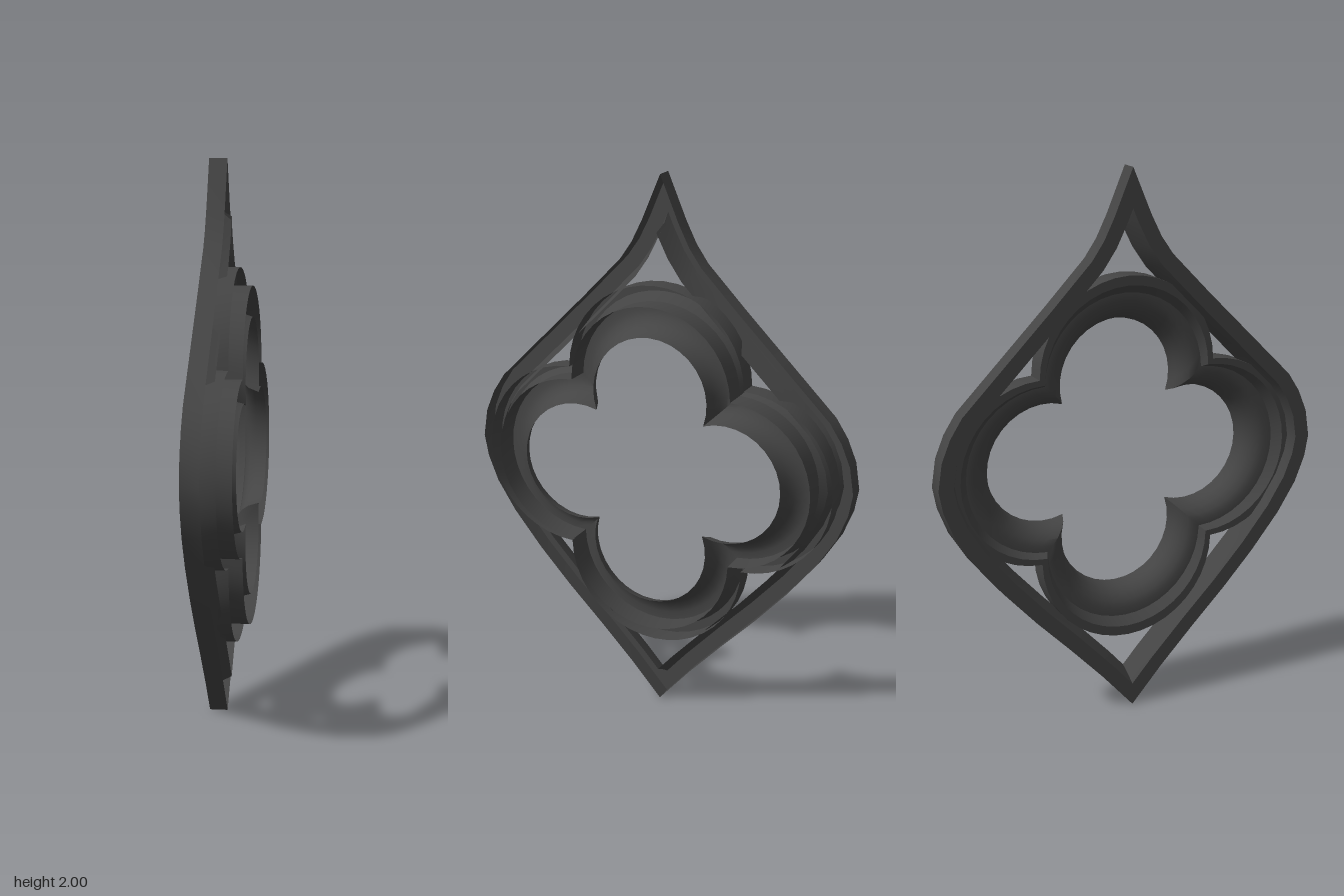
import * as THREE from 'three';
import { toCreasedNormals } from 'three/addons/utils/BufferGeometryUtils.js';

const MID_Y = 0.945;

// Skin a series of closed loops (equal point counts) into an open sheet.
function skin(loops) {
  const n = loops[0].length;
  const index = [];
  for (let k = 0; k < loops.length - 1; k++) {
    for (let i = 0; i < n; i++) {
      const j = (i + 1) % n;
      const a = k * n + i, b = k * n + j, c = a + n, d = b + n;
      index.push(a, c, b, b, c, d);
    }
  }
  const geometry = new THREE.BufferGeometry();
  geometry.setAttribute('position', new THREE.Float32BufferAttribute(loops.flat(2), 3));
  geometry.setIndex(index);
  return toCreasedNormals(geometry, 0.6);
}

// Inward mitred offset of the clockwise frame outline, placed at depth x.
function offsetLoop(outline, distance, x) {
  const n = outline.length;
  return outline.map((p, i) => {
    const before = p.clone().sub(outline[(i + n - 1) % n]).normalize();
    const after = outline[(i + 1) % n].clone().sub(p).normalize();
    const n1 = new THREE.Vector2(before.y, -before.x);
    const n2 = new THREE.Vector2(after.y, -after.x);
    const miter = n1.clone().add(n2).normalize();
    const q = p.clone().addScaledVector(miter, distance / miter.dot(n1));
    return [x, q.y, q.x];
  });
}

// Four-lobed outline: lobes of radius r centred c from the middle, at depth x.
function foilLoop(r, c, x) {
  const steps = 20;
  const cusp = (2 * c + Math.sqrt(8 * r * r - 4 * c * c)) / 4;
  const half = Math.atan2(cusp, cusp - c);
  const points = [];
  for (let lobe = 0; lobe < 4; lobe++) {
    const turn = lobe * Math.PI / 2;
    for (let i = 0; i < steps; i++) {
      const a = -half + 2 * half * i / steps;
      const u = c + r * Math.cos(a), v = r * Math.sin(a);
      points.push([
        x,
        MID_Y + u * Math.sin(turn) + v * Math.cos(turn),
        u * Math.cos(turn) - v * Math.sin(turn),
      ]);
    }
  }
  return points;
}

export function createModel() {
  const group = new THREE.Group();
  group.name = 'quatrefoilTracery';
  const material = new THREE.MeshStandardMaterial({ color: 0x444444, side: THREE.DoubleSide });

  const add = (name, loops) => {
    const mesh = new THREE.Mesh(skin(loops), material);
    mesh.name = name;
    group.add(mesh);
  };

  // Pointed ogee outline: one half from top to bottom, then mirrored
  const half = [
    [0, 2], [0.07, 1.835], [0.11, 1.755], [0.155, 1.69], [0.3, 1.54], [0.46, 1.38], [0.64, 1.2],
    [0.685, 1.13], [0.718, 1.05], [0.733, 0.95], [0.718, 0.87], [0.68, 0.775], [0.61, 0.665],
    [0.5, 0.53], [0.38, 0.4], [0.25, 0.27], [0.12, 0.135], [0, 0],
  ].map(([z, y]) => new THREE.Vector2(z, y));
  const mirrored = half.slice(1, -1).reverse().map((p) => new THREE.Vector2(-p.x, p.y));
  const outline = [...half, ...mirrored];

  // Outer frame: side wall, face and inner chamfer
  const frameProfile = [[0, -0.015], [0, -0.08], [0.055, -0.08], [0.068, -0.05], [0.085, 0]];
  add('outerFrame', frameProfile.map(([d, x]) => offsetLoop(outline, d, x)));

  // Foil moulding: outer step, then a hollow flare down to the cusped opening
  const foilProfile = [
    [0.34, 0.335, 0.03], [0.34, 0.335, -0.045], [0.32, 0.32, -0.045], [0.307, 0.302, -0.015],
    [0.285, 0.295, -0.015], [0.265, 0.289, -0.008], [0.245, 0.285, 0.01],
    [0.23, 0.282, 0.035], [0.22, 0.28, 0.075],
  ];
  add('foilMoulding', foilProfile.map((p) => foilLoop(...p)));

  // Raised wall behind the inner flare
  add('foilBackWall', [foilLoop(0.307, 0.302, -0.015), foilLoop(0.308, 0.302, 0.075)]);

  return group;
}
